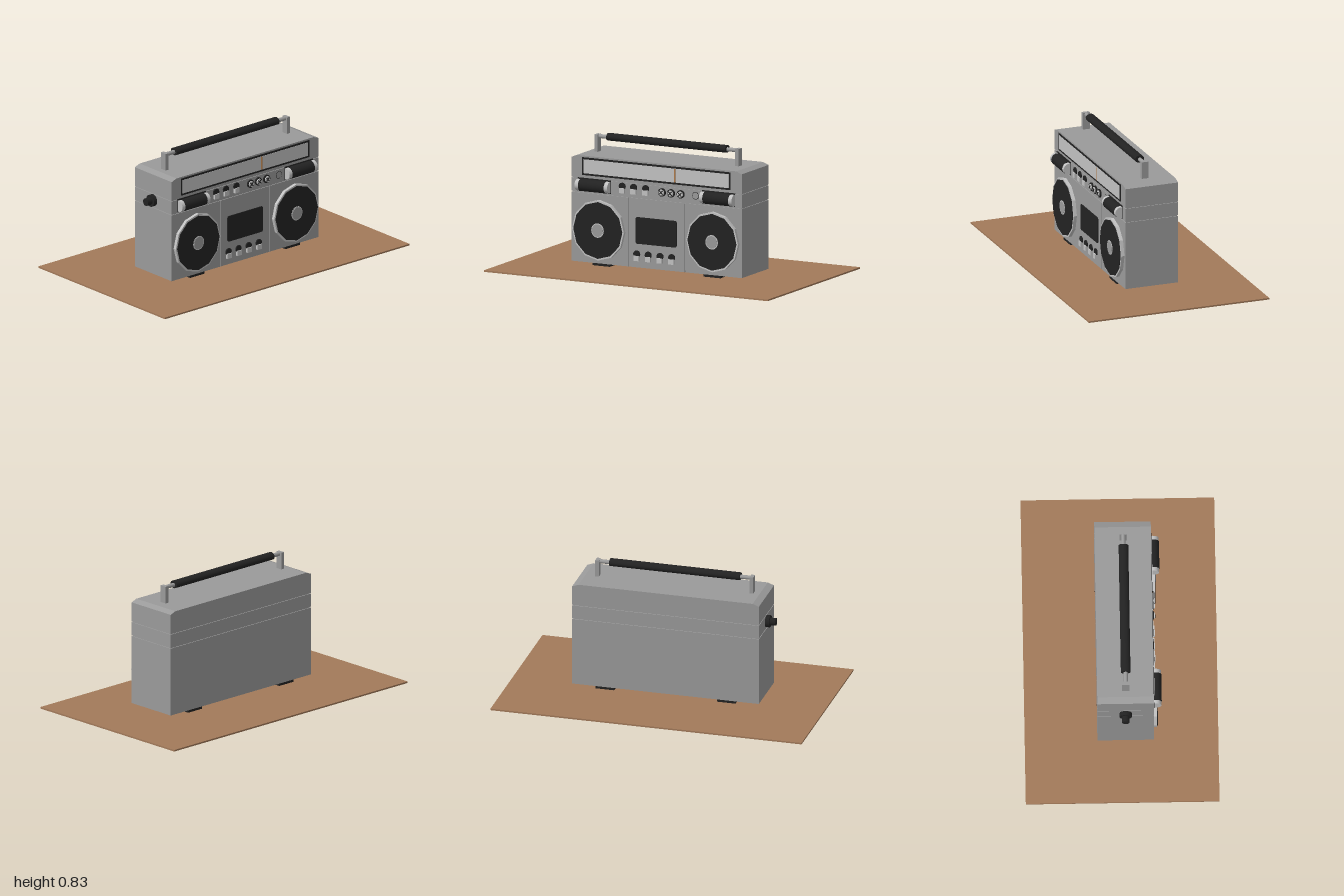
import * as THREE from 'three';

const mat = (name, color) => {
  const m = new THREE.MeshStandardMaterial({ color });
  m.name = name;
  return m;
};

export function createModel() {
  const grey = mat('body grey', 0x9a9a9a);
  const silver = mat('silver trim', 0xc2c2c2);
  const black = mat('black plastic', 0x222222);
  const wood = mat('brown wood', 0xa27a5a);
  const orange = mat('needle orange', 0xb07a48);
  const root = new THREE.Group();
  root.name = 'radioCassettePlayer';

  const add = (name, geo, material, x, y, z, parent = root) => {
    const mesh = new THREE.Mesh(geo, material);
    mesh.name = name;
    mesh.position.set(x, y, z);
    parent.add(mesh);
    return mesh;
  };
  // Box given by its minimum and maximum corners
  const box = (name, m, x0, x1, y0, y1, z0, z1, parent) =>
    add(name, new THREE.BoxGeometry(x1 - x0, y1 - y0, z1 - z0), m,
      (x0 + x1) / 2, (y0 + y1) / 2, (z0 + z1) / 2, parent);
  // Cylinders along x and along z
  const rodX = (name, m, r, x0, x1, y, z, sides = 20, parent = root) =>
    add(name, new THREE.CylinderGeometry(r, r, x1 - x0, sides).rotateZ(Math.PI / 2), m, (x0 + x1) / 2, y, z, parent);
  const discZ = (name, m, r, z0, z1, x, y, sides = 16, parent = root) =>
    add(name, new THREE.CylinderGeometry(r, r, z1 - z0, sides).rotateX(Math.PI / 2), m, x, y, (z0 + z1) / 2, parent);
  const group = (name) => {
    const g = new THREE.Group();
    g.name = name;
    root.add(g);
    return g;
  };

  box('board', wood, -1, 1, 0, 0.01, -0.6, 0.6);

  // Case: three slabs with narrow seams round an inner core
  const body = group('case');
  box('core', grey, -0.594, 0.594, 0.05, 0.68, -0.144, 0.194, body);
  box('middleBand', grey, -0.6, 0.6, 0.481, 0.566, -0.15, 0.2, body);
  for (const [x0, x1] of [[-0.6, -0.202], [-0.198, 0.198], [0.202, 0.6]])
    box('lowerFront', grey, x0, x1, 0.04, 0.475, 0.19, 0.2, body);
  box('lowerCase', grey, -0.6, 0.6, 0.04, 0.475, -0.15, 0.19, body);
  const lid = new THREE.Shape([[-0.6, 0.571], [0.6, 0.571], [0.6, 0.695], [0.56, 0.71],
    [-0.56, 0.71], [-0.6, 0.695]].map(([x, y]) => new THREE.Vector2(x, y)));
  add('upperCase', new THREE.ExtrudeGeometry(lid, { depth: 0.35, bevelEnabled: false }), grey, 0, 0, -0.15, body);

  // Feet
  for (const s of [-1, 1])
    box('foot', black, s * 0.39 - 0.06, s * 0.39 + 0.06, 0.025, 0.04, -0.15, 0.2);

  // Carrying handle
  const handle = group('handle');
  for (const x of [-0.508, 0.484])
    box('handlePost', grey, x - 0.012, x + 0.012, 0.71, 0.818, 0.005, 0.05, handle);
  rodX('handleRod', grey, 0.013, -0.5, 0.478, 0.806, 0.028, 12, handle);
  rodX('handleGrip', black, 0.03, -0.433, 0.405, 0.808, 0.028, 16, handle).scale.y = 0.8;

  // Tuner scale
  const tuner = group('tuner');
  box('tunerFrame', black, -0.525, 0.522, 0.588, 0.7, 0.199, 0.203, tuner);
  box('tunerScale', silver, -0.513, 0.51, 0.6, 0.688, 0.202, 0.205, tuner);
  box('tunerNeedle', orange, 0.127, 0.135, 0.602, 0.686, 0.204, 0.207, tuner);

  // Speakers and barrel tweeters, one pair each side
  for (const s of [-1, 1]) {
    const speaker = group('speaker');
    speaker.position.set(s * 0.402, 0.252, 0);
    speaker.scale.x = 0.96;
    const rim = discZ('speakerRim', silver, 0.19, 0.2, 0.221, 0, 0, 12, speaker);
    rim.geometry = rim.geometry.toNonIndexed();
    rim.geometry.computeVertexNormals();
    discZ('speakerCone', black, 0.179, 0.215, 0.225, 0, 0, 12, speaker);
    discZ('speakerCapRing', silver, 0.046, 0.22, 0.227, 0, 0, 16, speaker);
    discZ('speakerCap', grey, 0.04, 0.224, 0.229, 0, 0, 16, speaker);

    const tweeter = group('tweeter');
    tweeter.position.x = s * 0.438;
    box('tweeterPlate', black, -0.116, 0.116, 0.486, 0.57, 0.198, 0.203, tweeter);
    rodX('tweeterBarrel', black, 0.038, -0.09, 0.09, 0.527, 0.212, 20, tweeter);
    for (const e of [-1, 1])
      rodX('tweeterEnd', silver, 0.036, e * 0.1025 - 0.0125, e * 0.1025 + 0.0125, 0.527, 0.212, 20, tweeter);
  }

  // Switches above and cassette keys below: dark round top, pale square tab
  const key = (name, x, y) => {
    const g = group(name);
    discZ(name + 'Knob', black, 0.023, 0.2, 0.208, x, y + 0.012, 16, g);
    box(name + 'Tab', silver, x - 0.018, x + 0.018, y - 0.03, y + 0.002, 0.2, 0.215, g);
  };
  for (const x of [-0.24, -0.16, -0.075]) key('switch', x, 0.53);
  for (const x of [-0.138, -0.057, 0.026, 0.108]) key('cassetteKey', x, 0.112);

  // Round dials with crossed pointers
  for (const x of [0.04, 0.104, 0.172]) {
    const dial = group('dial');
    dial.position.set(x, 0.53, 0);
    discZ('dialBase', black, 0.026, 0.2, 0.21, 0, 0, 16, dial);
    discZ('dialFace', silver, 0.019, 0.205, 0.217, 0, 0, 16, dial);
    for (const a of [Math.PI / 4, -Math.PI / 4])
      box('dialMark', black, -0.017, 0.017, -0.003, 0.003, 0.216, 0.219, dial).rotation.z = a;
  }
  add('socketRing', new THREE.RingGeometry(0.02, 0.024, 24), black, 0.275, 0.53, 0.2015);
  discZ('socket', grey, 0.021, 0.2, 0.203, 0.275, 0.53);

  // Cassette window with rounded corners
  const x0 = -0.146, x1 = 0.142, y0 = 0.19, y1 = 0.358, r = 0.012;
  const win = new THREE.Shape();
  win.absarc(x1 - r, y1 - r, r, 0, Math.PI / 2);
  win.absarc(x0 + r, y1 - r, r, Math.PI / 2, Math.PI);
  win.absarc(x0 + r, y0 + r, r, Math.PI, Math.PI * 1.5);
  win.absarc(x1 - r, y0 + r, r, Math.PI * 1.5, Math.PI * 2);
  add('cassetteWindow', new THREE.ExtrudeGeometry(win, { depth: 0.006, bevelEnabled: false }), black, 0, 0, 0.199);

  // Side knob
  const knob = group('sideKnob');
  rodX('knobCollar', black, 0.038, -0.626, -0.6, 0.528, 0.025, 16, knob);
  rodX('knobTip', black, 0.024, -0.663, -0.62, 0.528, 0.025, 12, knob);

  return root;
}
